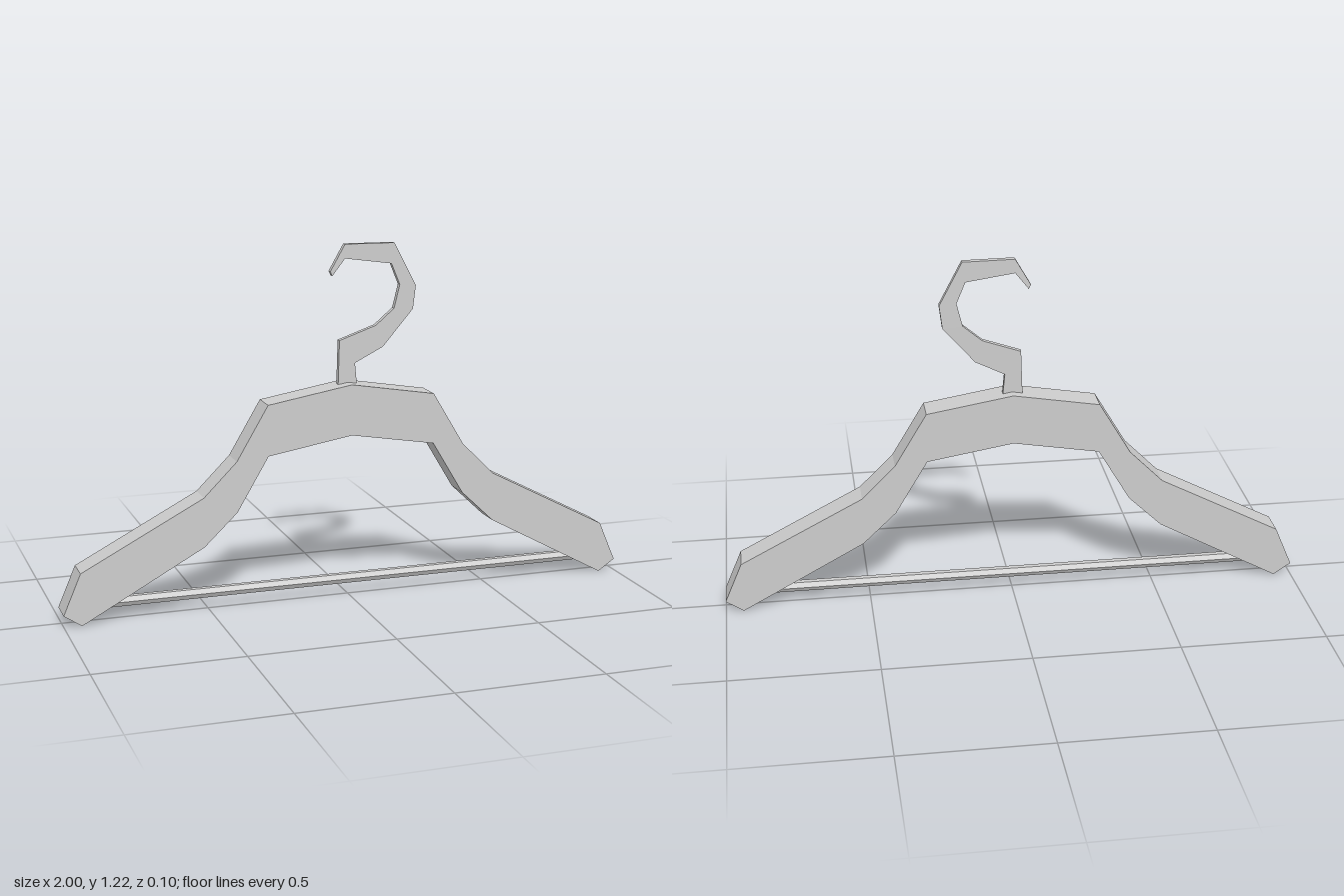
import * as THREE from 'three';

const grey = new THREE.MeshStandardMaterial({ color: 0xcccccc });
grey.name = 'plain grey';

// Flat plate cut from an outline, centred on the given z
function plate(name, points, depth, z) {
  const shape = new THREE.Shape(points.map(([x, y]) => new THREE.Vector2(x, y)));
  const geometry = new THREE.ExtrudeGeometry(shape, { depth, bevelEnabled: false });
  geometry.translate(0, 0, z - depth / 2);
  const mesh = new THREE.Mesh(geometry, grey);
  mesh.name = name;
  return mesh;
}

export function createModel() {
  const group = new THREE.Group();
  group.name = 'coatHanger';

  // Shoulders: one half of the outline, mirrored across x = 0
  const half = [
    [0.295, 0.70], [0.405, 0.515], [0.52, 0.40], [0.94, 0.18], [1, 0.04],
    [0.94, 0], [0.52, 0.23], [0.405, 0.34], [0.295, 0.525],
  ];
  const mirrored = half.map(([x, y]) => [-x, y]).reverse();
  group.add(plate('shoulders', [[0, 0.75], ...half, [0, 0.575], ...mirrored], 0.1, 0));

  // Angular hook, inner edge up to the tip and outer edge back down
  group.add(plate('hook', [
    [-0.035, 0.74], [-0.03, 0.895], [0.10, 0.94], [0.165, 0.995], [0.185, 1.075],
    [0.155, 1.148], [-0.01, 1.172], [-0.055, 1.115], [-0.062, 1.13], [-0.01, 1.22],
    [0.165, 1.218], [0.243, 1.07], [0.233, 0.99], [0.125, 0.865], [0.025, 0.815],
    [0.032, 0.74],
  ], 0.02, -0.005));

  // Six-sided trouser bar between the arms
  const barGeometry = new THREE.CylinderGeometry(0.019, 0.019, 1.78, 6).toNonIndexed();
  barGeometry.rotateZ(Math.PI / 2);
  barGeometry.rotateX(Math.PI); // ridge stays on top, flat faces front and back
  barGeometry.computeVertexNormals();
  const bar = new THREE.Mesh(barGeometry, grey);
  bar.name = 'trouserBar';
  bar.position.y = 0.057;
  group.add(bar);

  return group;
}
